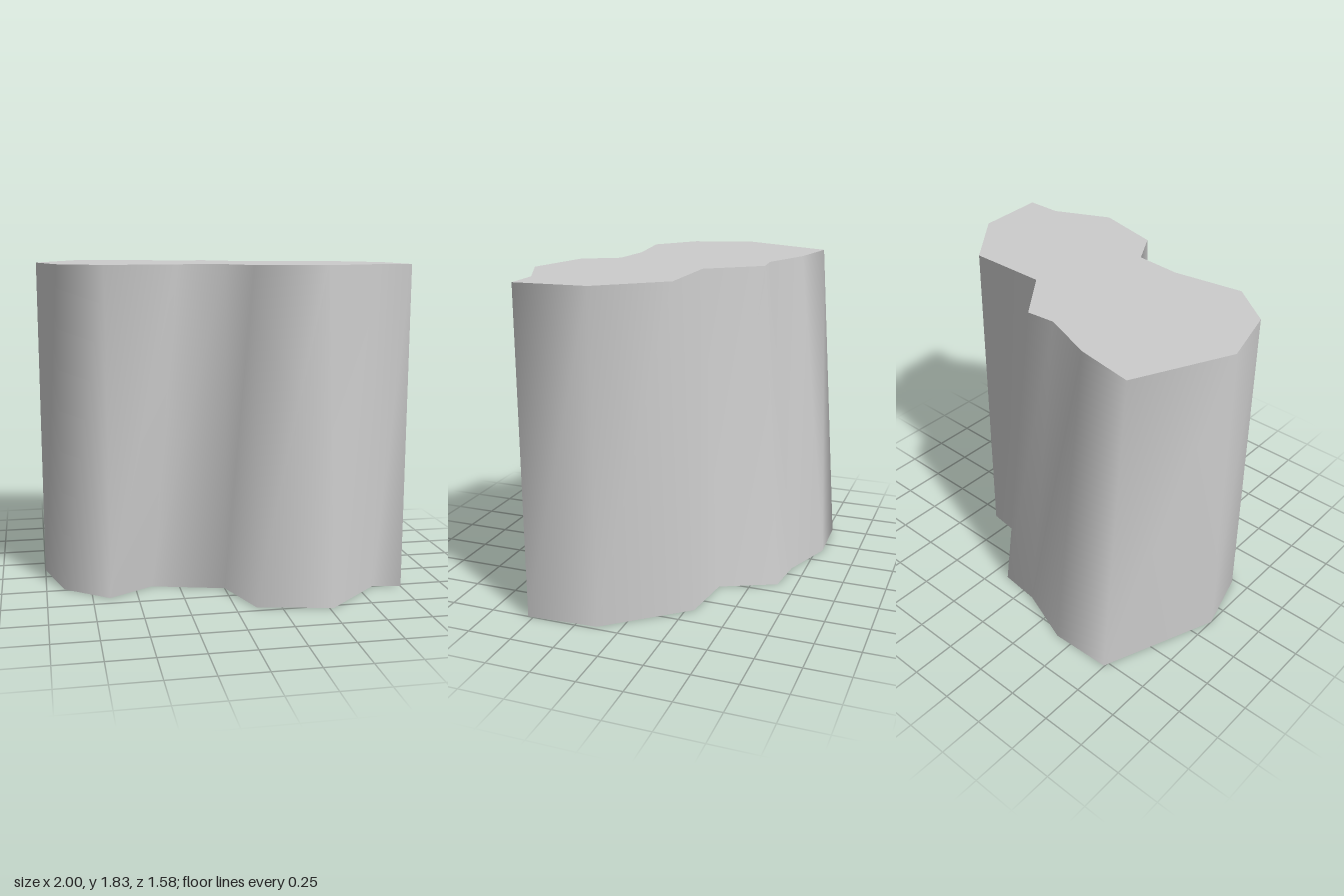
import * as THREE from 'three';

const HEIGHT = 1.83;

// Outline corners, counterclockwise from above: [top x, top z, base x, base z]
const OUTLINE = [
  [-1.0, -0.12, -1.0, -0.12],
  [-0.9, 0.235, -0.9, 0.235],
  [-0.655, 0.42, -0.655, 0.42],
  [-0.26, 0.36, -0.405, 0.275],
  [0.0, 0.38, 0.0, 0.38],
  [0.115, 0.58, 0.115, 0.705],
  [0.49, 0.675, 0.525, 0.785],
  [0.8, 0.53, 0.84, 0.5],
  [1.0, 0.53, 1.0, 0.53],
  [0.975, 0.13, 0.975, 0.13],
  [0.7, -0.205, 0.62, -0.295],
  [0.25, -0.205, 0.3, -0.335],
  [0.03, -0.49, 0.155, -0.645],
  [-0.13, -0.475, -0.08, -0.67],
  [-0.43, -0.59, -0.4, -0.79],
  [-0.755, -0.645, -0.745, -0.78],
];

// Smooth wall lofted between the base and top outlines
function wallGeometry() {
  const positions = [];
  const indices = [];
  const n = OUTLINE.length;
  OUTLINE.forEach(([tx, tz, bx, bz], i) => {
    positions.push(bx, 0, bz, tx, HEIGHT, tz);
    const a = 2 * i;
    const b = 2 * ((i + 1) % n);
    indices.push(a, b, b + 1, a, b + 1, a + 1);
  });
  const geometry = new THREE.BufferGeometry();
  geometry.setAttribute('position', new THREE.Float32BufferAttribute(positions, 3));
  geometry.setIndex(indices);
  geometry.computeVertexNormals();
  return geometry;
}

// Flat cap filling the top outline
function capGeometry() {
  const shape = new THREE.Shape(OUTLINE.map(([x, z]) => new THREE.Vector2(x, -z)));
  return new THREE.ShapeGeometry(shape).rotateX(-Math.PI / 2).translate(0, HEIGHT, 0);
}

export function createModel() {
  const stone = new THREE.MeshStandardMaterial({ color: 0xcccccc, side: THREE.DoubleSide });
  stone.name = 'stone grey';

  const wall = new THREE.Mesh(wallGeometry(), stone);
  wall.name = 'rockWall';

  const cap = new THREE.Mesh(capGeometry(), stone);
  cap.name = 'rockTop';

  const model = new THREE.Group();
  model.name = 'rockPillar';
  model.add(wall, cap);
  return model;
}
